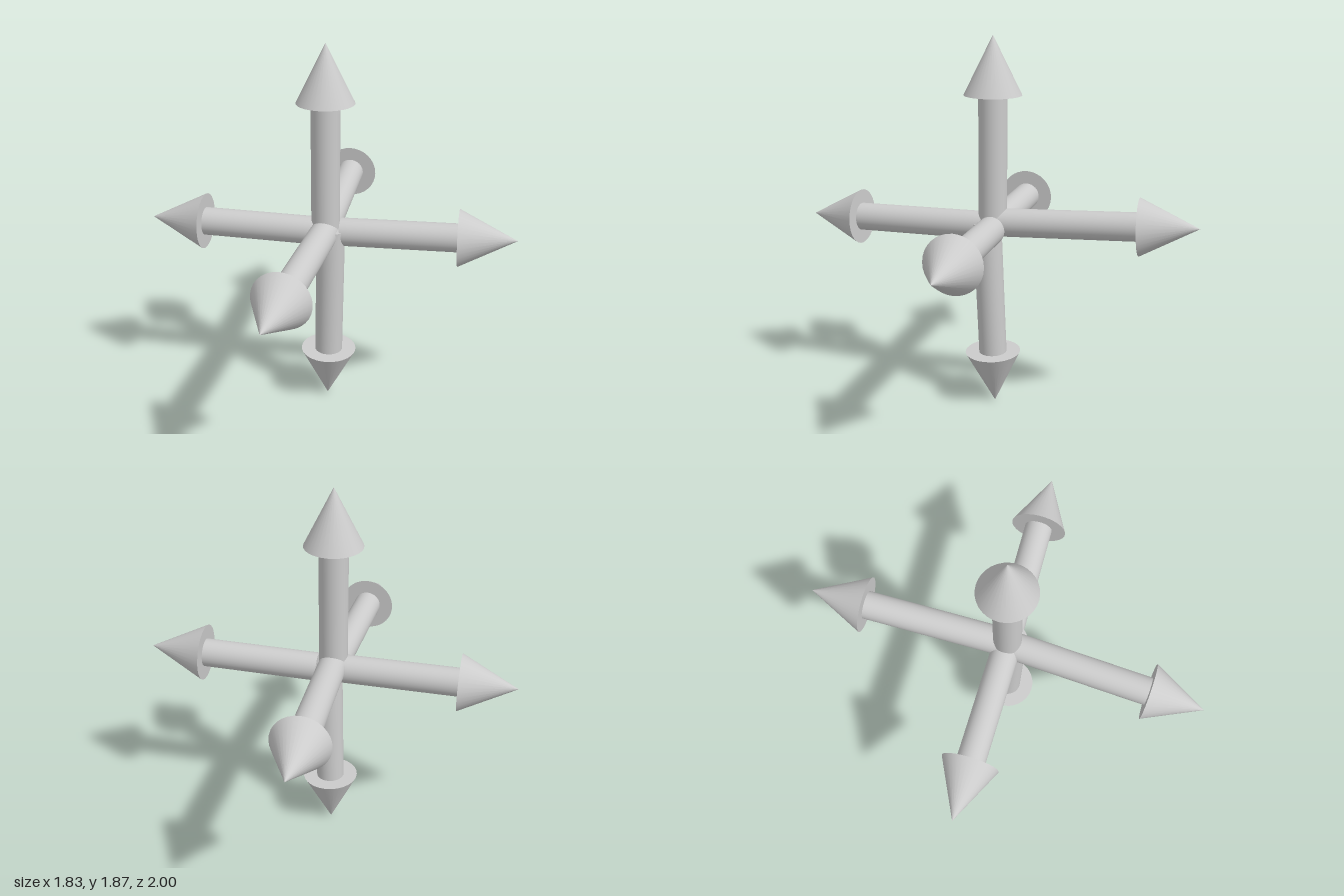
import * as THREE from 'three';

const SHAFT_RADIUS = 0.07, HEAD_RADIUS = 0.14, HEAD_LENGTH = 0.28, SIDES = 32;

const material = new THREE.MeshStandardMaterial({ color: 0xcccccc });

// One arrow pointing from start to tip: round shaft plus cone head
function makeArrow(name, start, tip) {
  const from = new THREE.Vector3(...start);
  const direction = new THREE.Vector3(...tip).sub(from);
  const length = direction.length();
  const shaftLength = length - HEAD_LENGTH;

  const shaft = new THREE.Mesh(
    new THREE.CylinderGeometry(SHAFT_RADIUS, SHAFT_RADIUS, shaftLength, SIDES), material);
  shaft.name = name + 'Shaft';
  shaft.position.y = shaftLength / 2;

  const head = new THREE.Mesh(
    new THREE.ConeGeometry(HEAD_RADIUS, HEAD_LENGTH, SIDES), material);
  head.name = name + 'Head';
  head.position.y = length - HEAD_LENGTH / 2;

  const arrow = new THREE.Group();
  arrow.name = name + 'Arrow';
  arrow.add(shaft, head);
  arrow.position.copy(from);
  arrow.quaternion.setFromUnitVectors(new THREE.Vector3(0, 1, 0), direction.normalize());
  return arrow;
}

export function createModel() {
  const model = new THREE.Group();
  model.name = 'sixWayArrows';

  // Six slightly skewed arrows meeting near the middle: name, start, tip
  const arrows = [
    ['up', [-0.02, 0.93, 0], [-0.02, 1.87, 0]],
    ['down', [0.01, 0.965, 0.02], [-0.012, 0, -0.015]],
    ['left', [0.055, 0.94, -0.01], [0.91, 0.962, -0.01]],
    ['right', [0.02, 0.94, 0], [-0.92, 0.94, -0.021]],
    ['front', [-0.02, 0.943, 0.02], [-0.09, 0.912, 1]],
    ['back', [-0.02, 0.962, 0], [-0.02, 1.01, -1]],
  ];
  for (const [name, start, tip] of arrows) model.add(makeArrow(name, start, tip));
  return model;
}
